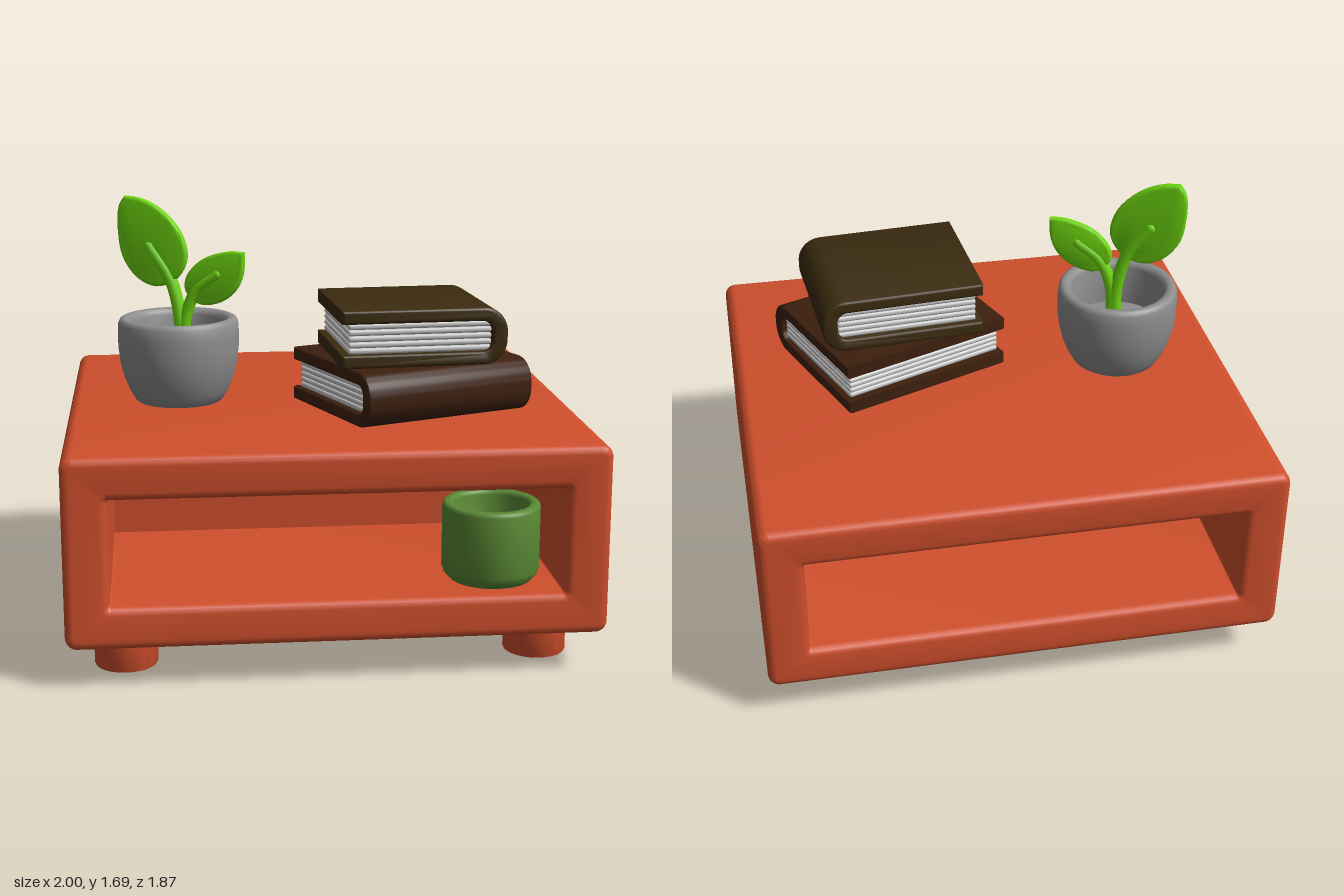
import * as THREE from 'three';
import { toCreasedNormals } from 'three/addons/utils/BufferGeometryUtils.js';
import { RoundedBoxGeometry } from 'three/addons/geometries/RoundedBoxGeometry.js';

const material = (name, color) => {
  const m = new THREE.MeshStandardMaterial({ color });
  m.name = name;
  return m;
};

function part(parent, name, geometry, mat, x = 0, y = 0, z = 0) {
  const mesh = new THREE.Mesh(geometry, mat);
  mesh.name = name;
  mesh.position.set(x, y, z);
  parent.add(mesh);
  return mesh;
}

// Rounded rectangle outline, usable as a shape or a hole
function roundRect(path, x0, y0, x1, y1, r) {
  path.moveTo(x0 + r, y0);
  path.lineTo(x1 - r, y0);
  path.absarc(x1 - r, y0 + r, r, -Math.PI / 2, 0);
  path.lineTo(x1, y1 - r);
  path.absarc(x1 - r, y1 - r, r, 0, Math.PI / 2);
  path.lineTo(x0 + r, y1);
  path.absarc(x0 + r, y1 - r, r, Math.PI / 2, Math.PI);
  path.lineTo(x0, y0 + r);
  path.absarc(x0 + r, y0 + r, r, Math.PI, Math.PI * 1.5);
  return path;
}

// Bevelled extrusion centred on z
function extrude(shape, depth, bevel, offset, curveSegments = 8) {
  const g = new THREE.ExtrudeGeometry(shape, {
    depth: depth - 2 * bevel, bevelEnabled: true, bevelThickness: bevel,
    bevelSize: bevel, bevelOffset: offset, bevelSegments: 4, curveSegments,
  });
  g.translate(0, 0, -(depth - 2 * bevel) / 2);
  return toCreasedNormals(g, 0.65);
}

function lathe(points, segments = 40) {
  const g = new THREE.LatheGeometry(points.map(([r, y]) => new THREE.Vector2(r, y)), segments);
  return toCreasedNormals(g, 0.7);
}

// Book with its spine towards local +x, standing on local y = 0
function makeBook(name, { width, length, height, cover, paper }) {
  const book = new THREE.Group();
  book.name = name;
  const t = 0.052, w = width / 2, r = 0.095, ri = 0.04, xi = w - 0.06;
  const s = new THREE.Shape();
  s.moveTo(-w, 0);
  s.lineTo(w - r, 0);
  s.absarc(w - r, r, r, -Math.PI / 2, 0);
  s.lineTo(w, height - r);
  s.absarc(w - r, height - r, r, 0, Math.PI / 2);
  s.lineTo(-w, height);
  s.lineTo(-w, height - t);
  s.lineTo(xi - ri, height - t);
  s.absarc(xi - ri, height - t - ri, ri, Math.PI / 2, 0, true);
  s.lineTo(xi, t + ri);
  s.absarc(xi - ri, t + ri, ri, 0, -Math.PI / 2, true);
  s.lineTo(-w, t);
  part(book, name + 'Cover', extrude(s, length, 0.012, -0.012), cover);

  // Stacked page bundles
  const n = 5, h = (height - 2 * t) / n;
  for (let i = 0; i < n; i++) {
    const pageW = width - 0.085;
    const g = new RoundedBoxGeometry(pageW, h, length - 0.04, 3, h * 0.45);
    part(book, name + 'Pages' + (i + 1), g, paper, -0.0175, t + h * (i + 0.5), 0);
  }
  return book;
}

export function createModel() {
  const model = new THREE.Group();
  model.name = 'sideTable';
  const orange = material('orange', 0xcf4f2c);
  const grey = material('potGrey', 0x8e8e8e);
  const leafGreen = material('leafGreen', 0x6ed60f);
  const cupGreen = material('cupGreen', 0x5a8a34);
  const brown = material('brownCover', 0x3e200e);
  const olive = material('oliveCover', 0x3b2b0f);
  const paper = material('paper', 0xc8c8c8);

  // Table: open tube with rounded edges, divided in the middle
  const table = new THREE.Group();
  table.name = 'table';
  model.add(table);
  const frame = roundRect(new THREE.Shape(), -0.97, 0.185, 0.97, 0.845, 0.015);
  frame.holes.push(roundRect(new THREE.Path(), -0.865, 0.285, 0.865, 0.745, 0.035));
  part(table, 'tableBody', extrude(frame, 1.87, 0.03, 0, 4), orange);
  part(table, 'divider', new THREE.BoxGeometry(1.72, 0.46, 0.04), orange, 0, 0.515, 0);
  const legProfile = [[0, 0], [0.11, 0], [0.117, 0.003], [0.12, 0.01], [0.12, 0.17]];
  for (const x of [-0.785, 0.785]) {
    for (const z of [-0.635, 0.654]) part(table, 'leg', lathe(legProfile), orange, x, 0, z);
  }

  // Cup on the shelf
  part(model, 'cup', lathe([
    [0, 0], [0.145, 0], [0.157, 0.006], [0.178, 0.03], [0.185, 0.05], [0.185, 0.285],
    [0.182, 0.296], [0.174, 0.302], [0.152, 0.302], [0.144, 0.296], [0.141, 0.285],
    [0.141, 0.06], [0.13, 0.04], [0, 0.04],
  ]), cupGreen, 0.597, 0.31, 0.7);

  // Plant pot
  part(model, 'plantPot', lathe([
    [0, 0], [0.165, 0], [0.176, 0.008], [0.198, 0.045], [0.22, 0.1], [0.235, 0.16],
    [0.242, 0.22], [0.243, 0.28], [0.24, 0.32], [0.233, 0.335], [0.222, 0.341],
    [0.205, 0.339], [0.193, 0.33], [0.187, 0.315], [0.187, 0.15], [0, 0.15],
  ], 48), grey, -0.558, 0.874, 0.022);

  // Plant, drawn flat and then turned
  const plant = new THREE.Group();
  plant.name = 'plant';
  plant.position.set(-0.55, 0, 0.015);
  plant.rotation.y = -0.44;
  model.add(plant);
  const flat = (x) => (x + 0.55) / 0.905;

  function leaf(name, tip, rest) {
    const pts = [tip, ...rest, tip].map(([x, y]) => new THREE.Vector2(flat(x), y));
    const outline = new THREE.SplineCurve(pts).getPoints(40);
    outline.pop();
    part(plant, name, extrude(new THREE.Shape(outline), 0.032, 0.012, -0.012), leafGreen);
  }
  leaf('tallLeaf', [-0.76, 1.69], [[-0.785, 1.645], [-0.79, 1.56], [-0.775, 1.45], [-0.72, 1.365],
    [-0.64, 1.33], [-0.56, 1.365], [-0.518, 1.45], [-0.54, 1.55], [-0.61, 1.635], [-0.69, 1.68]]);
  leaf('shortLeaf', [-0.295, 1.485], [[-0.36, 1.485], [-0.45, 1.455], [-0.515, 1.39], [-0.525, 1.32],
    [-0.47, 1.268], [-0.39, 1.28], [-0.33, 1.33], [-0.3, 1.4]]);

  function stem(name, radius, points) {
    const pts = points.map(([x, y]) => new THREE.Vector3(flat(x), y, 0));
    part(plant, name, new THREE.TubeGeometry(new THREE.CatmullRomCurve3(pts), 20, radius, 10), leafGreen);
    const end = pts[pts.length - 1];
    part(plant, name + 'Tip', new THREE.SphereGeometry(radius, 12, 8), leafGreen, end.x, end.y, 0);
  }
  stem('tallStem', 0.026, [[-0.55, 1.02], [-0.55, 1.2], [-0.585, 1.36], [-0.665, 1.49]]);
  stem('shortStem', 0.024, [[-0.535, 1.02], [-0.53, 1.2], [-0.485, 1.32], [-0.4, 1.39]]);

  // Stack of two books
  const lower = makeBook('lowerBook', { width: 0.645, length: 0.727, height: 0.213, cover: brown, paper });
  lower.position.set(0.357, 0.875, 0.221);
  lower.rotation.y = -1.195;
  const upper = makeBook('upperBook', { width: 0.645, length: 0.57, height: 0.222, cover: olive, paper });
  upper.position.set(0.352, 1.087, 0.211);
  upper.rotation.y = 0.073;
  model.add(lower, upper);

  return model;
}
